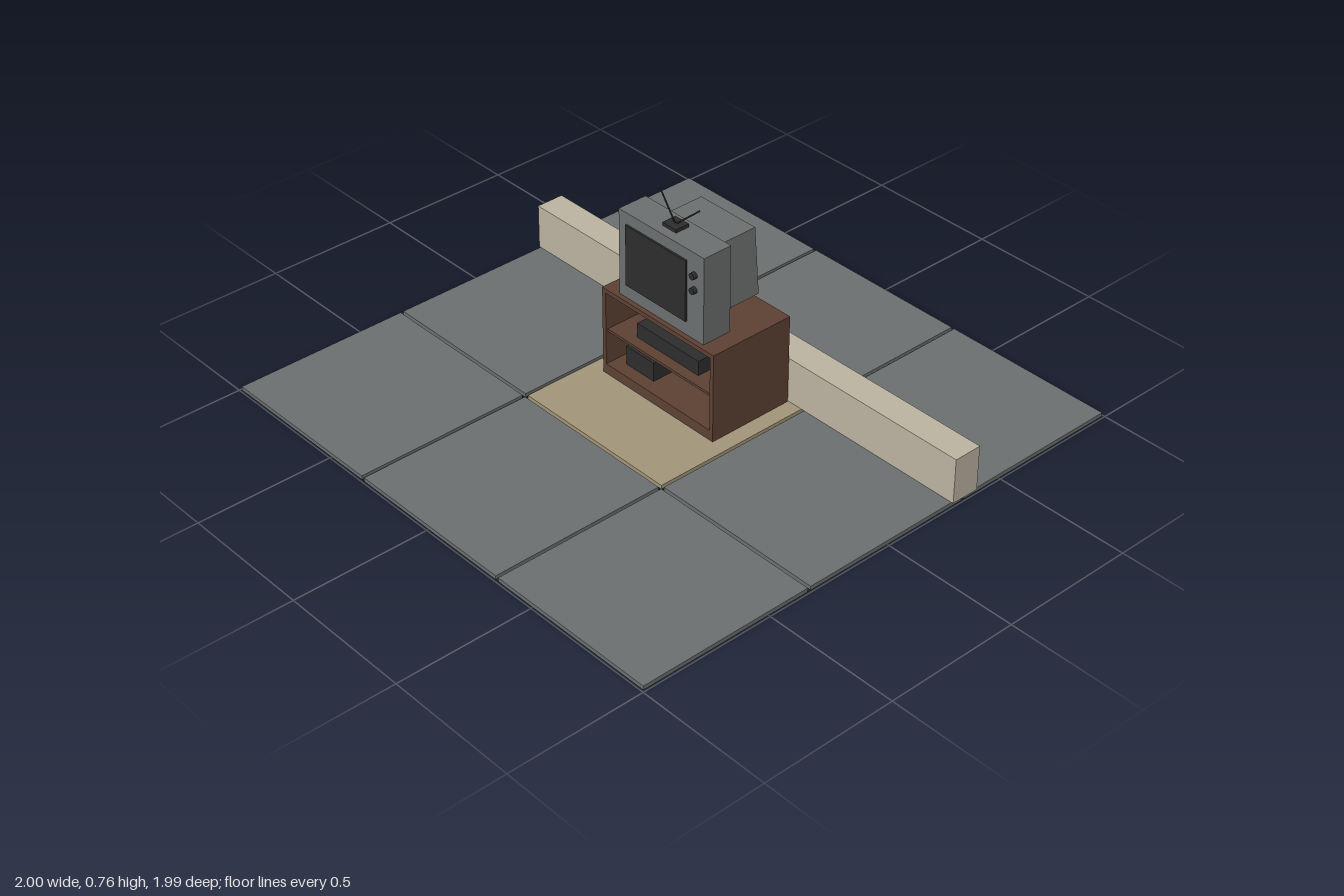
import * as THREE from 'three';

const paint = (name, color) => {
  const m = new THREE.MeshStandardMaterial({ color });
  m.name = name;
  return m;
};

export function createModel() {
  const model = new THREE.Group();
  model.name = 'televisionCorner';
  const stone = paint('slateGrey', 0x6b6e6e);
  const sand = paint('sandTile', 0xa09378);
  const plaster = paint('plasterBeige', 0xbab29f);
  const wood = paint('brownWood', 0x5c4033);
  const casing = paint('casingGrey', 0x6b6e6e);
  const dark = paint('charcoal', 0x2c2c2c);

  const add = (parent, name, geometry, material, x = 0, y = 0, z = 0) => {
    const mesh = new THREE.Mesh(geometry, material);
    mesh.name = name;
    mesh.position.set(x, y, z);
    parent.add(mesh);
    return mesh;
  };
  // Box given by its lower and upper limits on each axis
  const box = (parent, name, material, [x0, x1], [y0, y1], [z0, z1]) =>
    add(parent, name, new THREE.BoxGeometry(x1 - x0, y1 - y0, z1 - z0), material,
      (x0 + x1) / 2, (y0 + y1) / 2, (z0 + z1) / 2);
  const group = (name) => {
    const g = new THREE.Group();
    g.name = name;
    model.add(g);
    return g;
  };

  // Floor of nine separate tiles, the middle one sand-coloured
  const floor = group('floor');
  const top = 0.015;
  for (let i = -1; i <= 1; i++) {
    for (let j = -1; j <= 1; j++) {
      const middle = i === 0 && j === 0;
      add(floor, middle ? 'centreTile' : 'floorTile', new THREE.BoxGeometry(0.654, top, 0.654),
        middle ? sand : stone, i * 0.666, top / 2, j * 0.666);
    }
  }

  // Low wall behind the cabinet
  box(model, 'lowWall', plaster, [-1, 1], [top, 0.183], [-0.39, -0.283]);

  // Open cabinet with a shelf and two devices
  const cabinet = group('cabinet');
  const depth = [-0.28, 0.053];
  for (const s of [-1, 1]) {
    box(cabinet, 'cabinetSide', wood, s < 0 ? [-0.266, -0.25] : [0.25, 0.266], [top, 0.348], depth);
  }
  box(cabinet, 'cabinetTop', wood, [-0.25, 0.25], [0.332, 0.348], depth);
  box(cabinet, 'cabinetBase', wood, [-0.25, 0.25], [top, 0.053], depth);
  box(cabinet, 'shelf', wood, [-0.25, 0.25], [0.178, 0.188], [-0.268, 0.045]);
  box(cabinet, 'backPanel', dark, [-0.25, 0.25], [0.053, 0.332], [-0.276, -0.268]);
  box(cabinet, 'videoPlayer', dark, [-0.15, 0.145], [0.188, 0.243], [-0.18, 0.005]);
  box(cabinet, 'smallDevice', dark, [-0.205, -0.07], [0.053, 0.125], [-0.15, 0.005]);

  // Television: front case, rear housing, screen and knobs
  const tv = group('television');
  box(tv, 'frontCase', casing, [-0.2, 0.2], [0.348, 0.67], [-0.079, 0.035]);
  const profile = new THREE.Shape([[-0.148, 0.39], [0.148, 0.39], [0.126, 0.63], [-0.126, 0.63]]
    .map(([x, y]) => new THREE.Vector2(x, y)));
  add(tv, 'rearHousing', new THREE.ExtrudeGeometry(profile, { depth: 0.176, bevelEnabled: false }),
    casing, 0, 0, -0.253);
  box(tv, 'screen', dark, [-0.162, 0.122], [0.4, 0.628], [0.035, 0.042]);
  for (const y of [0.535, 0.59]) {
    add(tv, 'knob', new THREE.CylinderGeometry(0.012, 0.012, 0.016, 16), dark, 0.158, y, 0.042)
      .rotation.x = Math.PI / 2;
  }

  // Antenna: base with two splayed rods
  const antenna = group('antenna');
  box(antenna, 'antennaBase', dark, [-0.032, 0.032], [0.67, 0.682], [-0.055, 0]);
  for (const s of [-1, 1]) {
    const path = new THREE.LineCurve3(new THREE.Vector3(0, 0.678, -0.027),
      new THREE.Vector3(s * 0.094, 0.762, -0.046));
    add(antenna, 'antennaRod', new THREE.TubeGeometry(path, 1, 0.0027, 8), dark);
  }
  return model;
}
